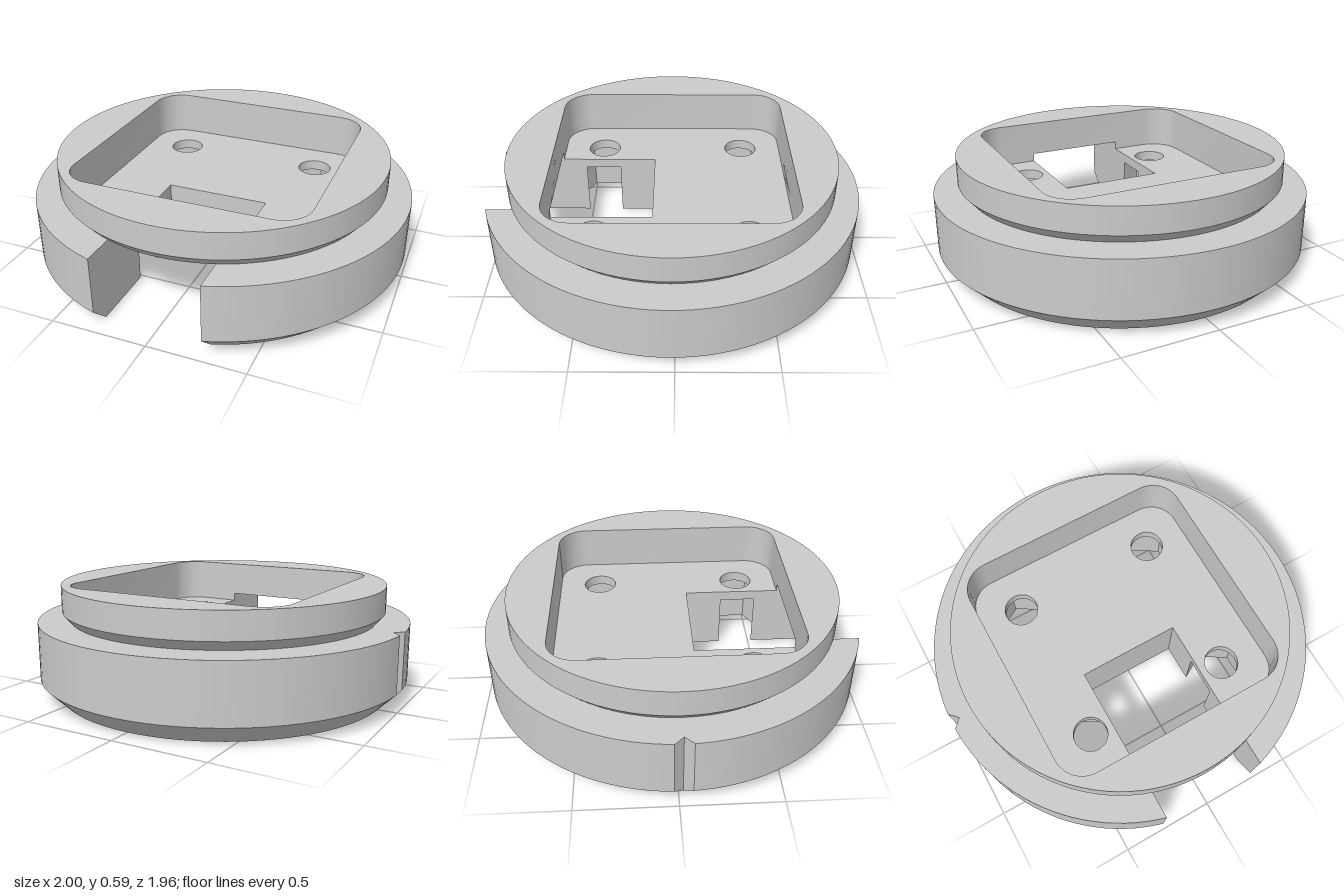
import * as THREE from 'three';
import { toCreasedNormals } from 'three/addons/utils/BufferGeometryUtils.js';

// Plan outlines are [x, v] points with v = -z, solid on the left of the path.
const SLOT = 0.275, SLOT_BACK = -0.1, PITCH = 0.4;
const POCKET = 0.627, POCKET_R = 0.15, NUT_R = 0.17;

function arc(cx, cy, r, a0, a1, n) {
  return Array.from({ length: n + 1 }, (_, i) => {
    const a = a0 + (a1 - a0) * i / n;
    return [cx + r * Math.cos(a), cy + r * Math.sin(a)];
  });
}

// closed ring; clockwise rings are holes
function ring(cx, cy, r, n, start = 0, clockwise = true) {
  const turn = clockwise ? -2 * Math.PI : 2 * Math.PI;
  return arc(cx, cy, r, start, start + turn, n).slice(0, n);
}

const mirror = (pts) => pts.map(([x, v]) => [-x, v]).reverse();

// rounded square pocket, clockwise from its front left corner
function pocketRing() {
  const c = POCKET - POCKET_R, q = Math.PI / 2;
  return [[-c, -c, 3], [-c, c, 2], [c, c, 1], [c, -c, 0]]
    .flatMap(([x, v, k]) => arc(x, v, POCKET_R, k * q, (k - 1) * q, 10));
}

// disc with an index notch on one side and a front slot of the given shape
function baseOutline(r, slotKind) {
  const w = Math.max(0, r - 0.955), dn = Math.asin(w / r), ds = Math.asin(SLOT / r);
  const right = arc(0, 0, r, -Math.PI / 2 + ds, Math.PI - dn, 72);
  const left = arc(0, 0, r, Math.PI + dn, 1.5 * Math.PI - ds, 24);
  let slot;
  if (slotKind === 'pocket') {
    slot = [[-SLOT, -POCKET], ...pocketRing(), [SLOT, -POCKET]];
  } else {
    let side = [];
    if (slotKind === 'nuts') {
      // nut traps that break through the slot walls
      const half = NUT_R - (PITCH - SLOT) / Math.sqrt(3), flat = NUT_R * Math.sqrt(3) / 2;
      side = [[-SLOT, -PITCH - half], [-PITCH, -PITCH - NUT_R],
        [-PITCH - flat, -PITCH - NUT_R / 2], [-PITCH - flat, -PITCH + NUT_R / 2],
        [-PITCH, -PITCH + NUT_R], [-SLOT, -PITCH + half]];
    }
    slot = [...side, [-SLOT, SLOT_BACK], [SLOT, SLOT_BACK], ...mirror(side)];
  }
  return [...right, [-Math.min(r, 0.955), 0], ...left, ...slot];
}

// walls between two matching outlines, with optional end caps
function addLayer(out, { y0, y1, lower, upper, holes = [], top, bottom }) {
  const tri = (a, b, c) => {
    const area = new THREE.Triangle(...[a, b, c].map((p) => new THREE.Vector3(...p))).getArea();
    if (area > 1e-9) out.push(...a, ...b, ...c);
  };
  const at = ([x, v], y) => [x, y, -v];
  for (const [lo, hi] of [[lower, upper], ...holes.map((h) => [h, h])]) {
    lo.forEach((p, i) => {
      const j = (i + 1) % lo.length;
      tri(at(p, y0), at(lo[j], y0), at(hi[j], y1));
      tri(at(p, y0), at(hi[j], y1), at(hi[i], y1));
    });
  }
  const cap = (outline, y, up) => {
    const loops = [outline, ...holes].map((l) => l.map((p) => new THREE.Vector2(...p)));
    const pts = loops.flat();
    for (const f of THREE.ShapeUtils.triangulateShape(loops[0], loops.slice(1))) {
      const [a, b, c] = f.map((i) => pts[i]);
      const ccw = (b.x - a.x) * (c.y - a.y) - (b.y - a.y) * (c.x - a.x) > 0;
      const t = (ccw === up ? [a, b, c] : [a, c, b]).map((p) => at([p.x, p.y], y));
      tri(...t);
    }
  };
  if (top) cap(upper, y1, true);
  if (bottom) cap(lower, y0, false);
}

function buildMesh(name, layers, material) {
  const out = [];
  layers.forEach((l) => addLayer(out, l));
  const g = new THREE.BufferGeometry();
  g.setAttribute('position', new THREE.Float32BufferAttribute(out, 3));
  const mesh = new THREE.Mesh(toCreasedNormals(g, 0.5), material);
  mesh.name = name;
  return mesh;
}

export function createModel() {
  const group = new THREE.Group();
  group.name = 'roundHousing';
  const material = new THREE.MeshStandardMaterial({ color: 0xcccccc });

  const nuts = [-PITCH, PITCH].map((x) => ring(x, PITCH, NUT_R, 6, Math.PI / 2));
  const screws = [-PITCH, PITCH].flatMap((x) =>
    [-PITCH, PITCH].map((v) => ring(x, v, 0.09, 32)));
  const arrow = [[-0.825, 0], [-0.63, 0.11], [-0.63, -0.11]];

  const slab = (y0, y1, r0, r1, kind, extra) => ({
    y0, y1, lower: baseOutline(r0, kind), upper: baseOutline(r1, kind), ...extra,
  });

  // base: chamfered foot, nut traps, screw floor, then the pocket's lower edge
  group.add(buildMesh('base', [
    slab(0, 0.05, 0.9, 0.95, 'nuts', { holes: [...nuts, arrow], bottom: true }),
    slab(0.05, 0.055, 0.95, 0.955, 'nuts', { holes: nuts, bottom: true }),
    slab(0.055, 0.1, 0.955, 1, 'nuts', { holes: nuts }),
    slab(0.1, 0.3, 1, 1, 'nuts', { holes: nuts }),
    slab(0.3, 0.355, 1, 1, 'plain', { holes: screws, bottom: true, top: true }),
    slab(0.355, 0.4, 1, 1, 'pocket', { top: true }),
  ], material));

  // collar: flared neck and straight rim around the pocket
  const disc = (r) => ring(0, 0, r, 96, 0, false);
  const holes = [pocketRing()];
  group.add(buildMesh('collar', [
    { y0: 0.4, y1: 0.45, lower: disc(0.83), upper: disc(0.873), holes, bottom: true },
    { y0: 0.45, y1: 0.59, lower: disc(0.873), upper: disc(0.873), holes, top: true },
  ], material));

  group.children.forEach((m) => { m.position.z = 0.02; });
  return group;
}
